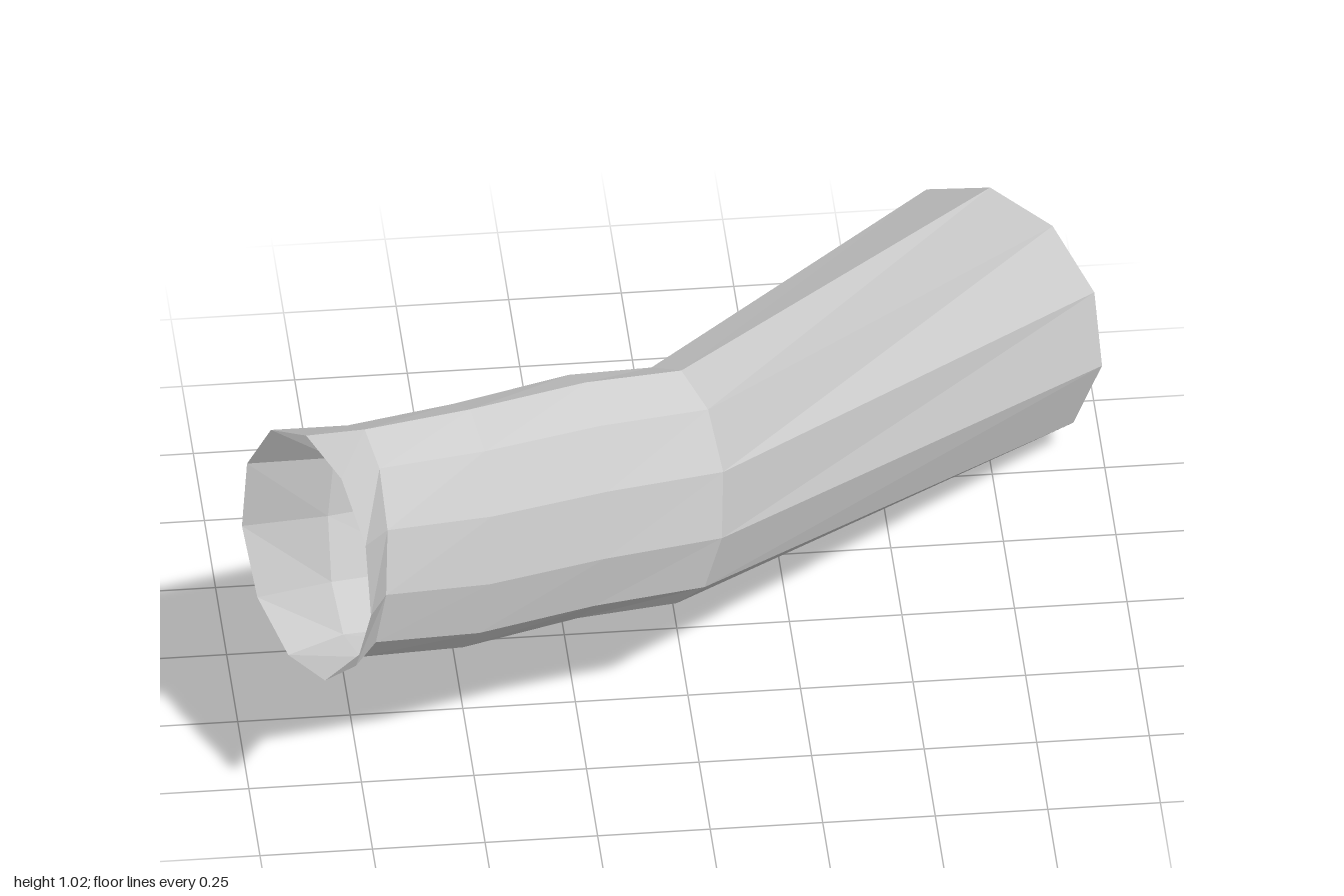
import * as THREE from 'three';

const SIDES = 11;

// Each ring: centre, half-axis toward the front, half-axis upward, phase in degrees
const RINGS = {
  flangeEnd: { c: [-0.885, 0.74, 0.63], front: [0.115, 0, 0.27], up: [0.03, 0.29, 0], phase: 4 },
  neck: { c: [-0.765, 0.73, 0.575], front: [0.05, 0, 0.155], up: [0.02, 0.265, -0.05], phase: -8 },
  bodyA: { c: [-0.525, 0.692, 0.49], front: [0.05, 0, 0.155], up: [0.02, 0.282, -0.05], phase: -10 },
  bodyB: { c: [-0.26, 0.685, 0.4], front: [0.05, 0, 0.16], up: [0.02, 0.28, -0.05], phase: -11 },
  elbow: { c: [-0.045, 0.655, 0.335], front: [0.105, 0, 0.127], up: [0.02, 0.272, -0.06], phase: -12 },
  farEnd: { c: [0.76, 0.288, -0.715], front: [0.24, 0, 0.18], up: [0.03, 0.288, -0.07], phase: -4.5 },
};

function ringPoint({ c, front, up, phase }, i) {
  const a = THREE.MathUtils.degToRad(phase) + ((i % SIDES) / SIDES) * Math.PI * 2;
  return c.map((v, k) => v + Math.cos(a) * front[k] + Math.sin(a) * up[k]);
}

// Open skin stretched through a list of rings
function loft(name, rings, material) {
  const positions = [];
  for (let r = 0; r < rings.length - 1; r++) {
    for (let i = 0; i < SIDES; i++) {
      const a = ringPoint(rings[r], i);
      const b = ringPoint(rings[r + 1], i);
      const c = ringPoint(rings[r + 1], i + 1);
      const d = ringPoint(rings[r], i + 1);
      positions.push(...a, ...b, ...c, ...a, ...c, ...d);
    }
  }
  const geometry = new THREE.BufferGeometry();
  geometry.setAttribute('position', new THREE.Float32BufferAttribute(positions, 3));
  geometry.computeVertexNormals();
  const mesh = new THREE.Mesh(geometry, material);
  mesh.name = name;
  return mesh;
}

export function createModel() {
  const material = new THREE.MeshStandardMaterial({
    color: 0xcccccc, flatShading: true, side: THREE.DoubleSide,
  });
  const { flangeEnd, neck, bodyA, bodyB, elbow, farEnd } = RINGS;
  const group = new THREE.Group();
  group.name = 'bentPipe';
  // Flared mouth, short flattened section, long section widening to a round opening
  group.add(
    loft('flaredMouth', [flangeEnd, neck], material),
    loft('shortSection', [neck, bodyA, bodyB, elbow], material),
    loft('longSection', [elbow, farEnd], material),
  );
  return group;
}
